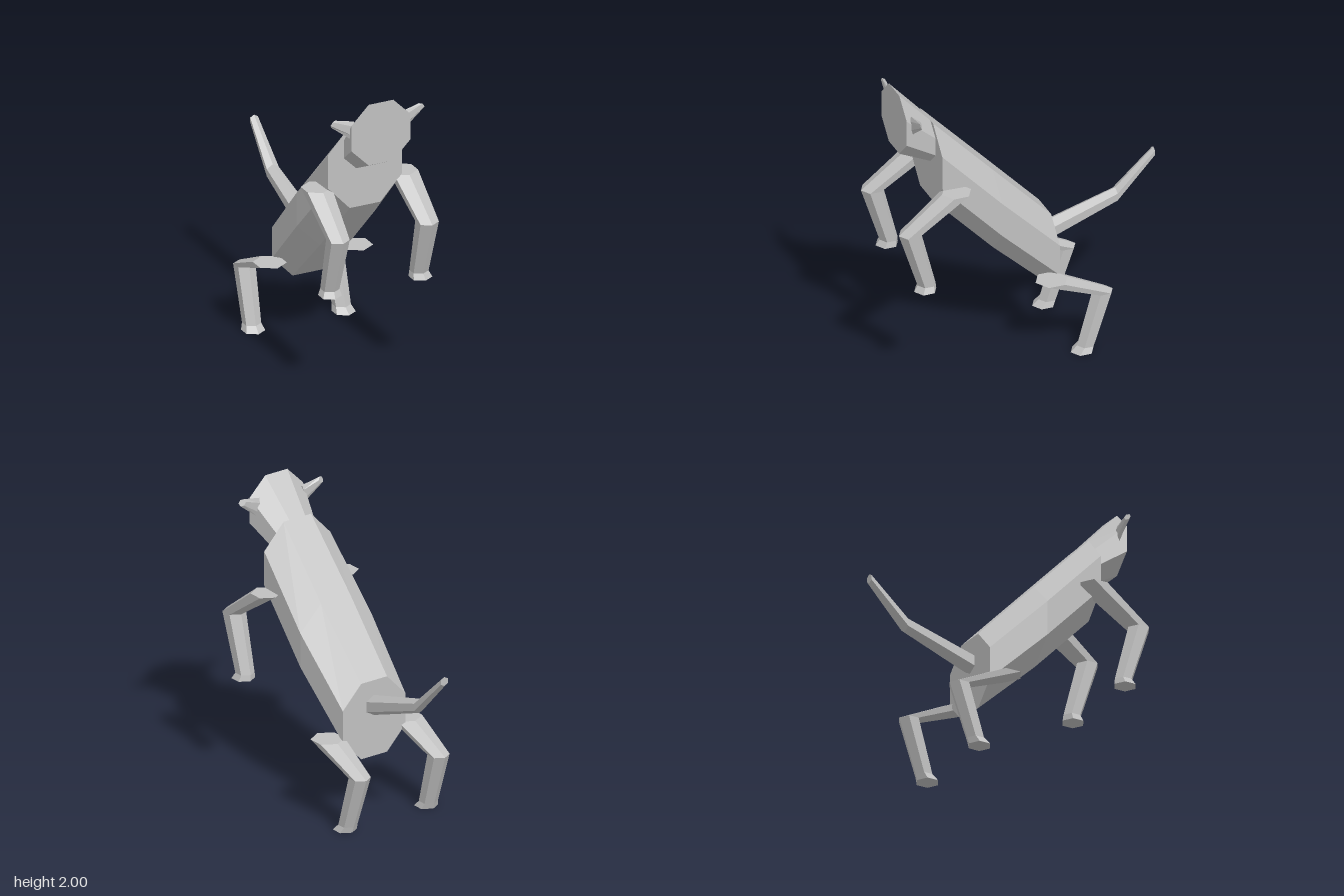
import * as THREE from 'three';

// Ring of n points around a centre, spanned by two axis vectors u and v
function ring(n, offset, c, u, v) {
  return Array.from({ length: n }, (_, i) => {
    const a = offset + (i / n) * Math.PI * 2;
    return new THREE.Vector3(...c)
      .addScaledVector(u, Math.cos(a))
      .addScaledVector(v, Math.sin(a));
  });
}

// Faceted, capped skin through rings; turned outwards by its signed volume
function loft(rings) {
  const tris = [];
  const n = rings[0].length;
  for (let k = 0; k < rings.length - 1; k++) {
    const a = rings[k], b = rings[k + 1];
    for (let i = 0; i < n; i++) {
      const j = (i + 1) % n;
      tris.push([a[i], a[j], b[j]], [a[i], b[j], b[i]]);
    }
  }
  const first = rings[0], last = rings[rings.length - 1];
  for (let i = 1; i < n - 1; i++) {
    tris.push([first[0], first[i + 1], first[i]], [last[0], last[i], last[i + 1]]);
  }
  let volume = 0;
  for (const [a, b, c] of tris) volume += a.dot(b.clone().cross(c));
  if (volume < 0) tris.forEach((t) => t.reverse());
  const geometry = new THREE.BufferGeometry().setFromPoints(tris.flat());
  geometry.computeVertexNormals();
  return geometry;
}

const vec = (x, y, z) => new THREE.Vector3(x, y, z);

// Upright octagon with flat top and sides: half width rx, half height ry
function octagon(y, z, rx, ry) {
  const s = 1 / Math.cos(Math.PI / 8);
  return ring(8, Math.PI / 8, [0, y, z], vec(rx * s, 0, 0), vec(0, ry * s, 0));
}

export function createModel() {
  const model = new THREE.Group();
  const grey = new THREE.MeshStandardMaterial({ color: 0xc0c0c0 });
  grey.name = 'plain grey';
  grey.flatShading = true;

  const add = (name, rings) => {
    const mesh = new THREE.Mesh(loft(rings), grey);
    mesh.name = name;
    model.add(mesh);
  };

  // Sloping trunk and head
  add('body', [
    octagon(0.648, -0.2, 0.25, 0.263),
    octagon(1.05, 0.21, 0.283, 0.285),
    octagon(1.475, 0.62, 0.265, 0.285),
  ]);
  add('head', [
    octagon(1.61, 0.62, 0.152, 0.15),
    octagon(1.788, 0.845, 0.213, 0.213),
  ]);

  // Six-sided tail, ridge on top: y, z, radius
  add('tail', [[0.738, -0.2, 0.07], [0.9, -0.685, 0.05], [1.161, -0.95, 0.032]].map(
    ([y, z, r]) => ring(6, 0, [0, y, z], vec(0, r, 0), vec(r, 0, 0))));

  // Leg stations from top to sole: x, y, z, radius
  const frontLeg = [
    [0.31, 1.345, 0.54, 0.1],
    [0.32, 1.11, 0.867, 0.076],
    [0.32, 0.72, 0.752, 0.062],
    [0.325, 0.68, 0.763, 0.077],
  ];
  const hindLeg = [
    [0.31, 0.555, -0.117, 0.11],
    [0.315, 0.405, -0.467, 0.072],
    [0.322, 0.04, -0.35, 0.062],
    [0.325, 0, -0.322, 0.078],
  ];
  const leg = (stations, s) => stations.map(
    ([x, y, z, r]) => ring(6, 0, [s * x, y, z], vec(0, 0, r), vec(r, 0, 0)));

  for (const [side, s] of [['left', 1], ['right', -1]]) {
    add(side + 'FrontLeg', leg(frontLeg, s));
    add(side + 'HindLeg', leg(hindLeg, s));

    // Thin ear, tapering outwards and up
    add(side + 'Ear', [
      ring(6, 0, [s * 0.18, 1.82, 0.798], vec(-s * 0.01, 0.062, 0), vec(0, 0, 0.014)),
      ring(6, 0, [s * 0.315, 1.888, 0.787], vec(-s * 0.014, 0.022, 0), vec(s * 0.018, 0.008, 0.012)),
    ]);
  }
  return model;
}
